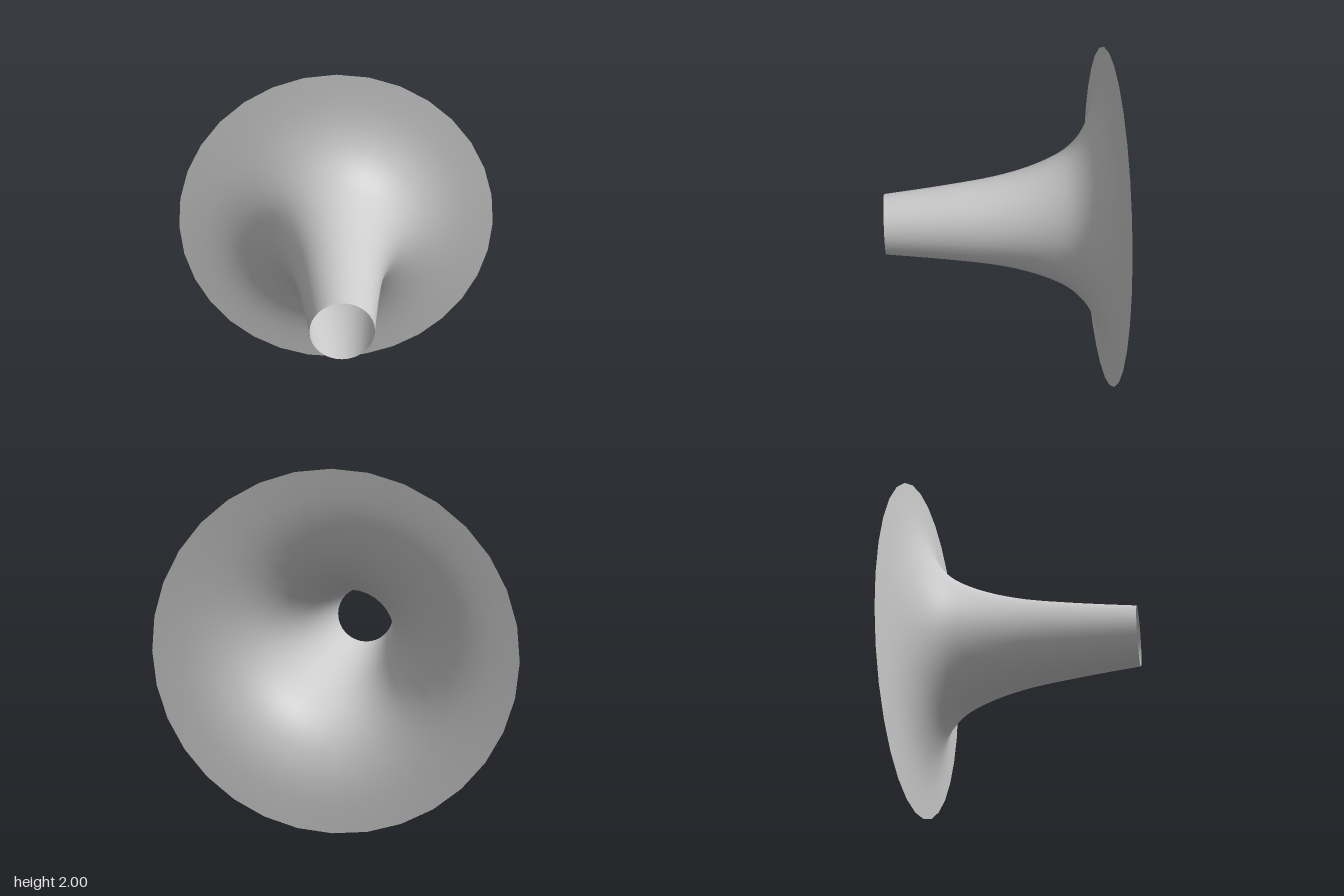
import * as THREE from 'three';

export function createModel() {
  const group = new THREE.Group();
  group.name = 'hornBell';

  // Flare profile as [radius, z], from the wide rim at the back to the narrow mouth in front
  const profile = [
    [1.0, -0.648], [0.88, -0.638], [0.77, -0.624], [0.663, -0.598], [0.557, -0.552],
    [0.477, -0.495], [0.41, -0.42], [0.357, -0.32], [0.306, -0.18], [0.262, 0],
    [0.226, 0.24], [0.2, 0.45], [0.178, 0.648],
  ];
  const curve = new THREE.CatmullRomCurve3(
    profile.map(([r, z]) => new THREE.Vector3(r, z, 0)), false, 'centripetal');
  const points = curve.getPoints(36).map((p) => new THREE.Vector2(p.x, p.y));

  // Thin open shell, its axis turned to point forward
  const geometry = new THREE.LatheGeometry(points, 32);
  geometry.rotateX(Math.PI / 2);
  const material = new THREE.MeshStandardMaterial({ color: 0xcccccc, side: THREE.DoubleSide });
  const bell = new THREE.Mesh(geometry, material);
  bell.name = 'flaredBell';
  bell.position.y = 1;
  group.add(bell);
  return group;
}
